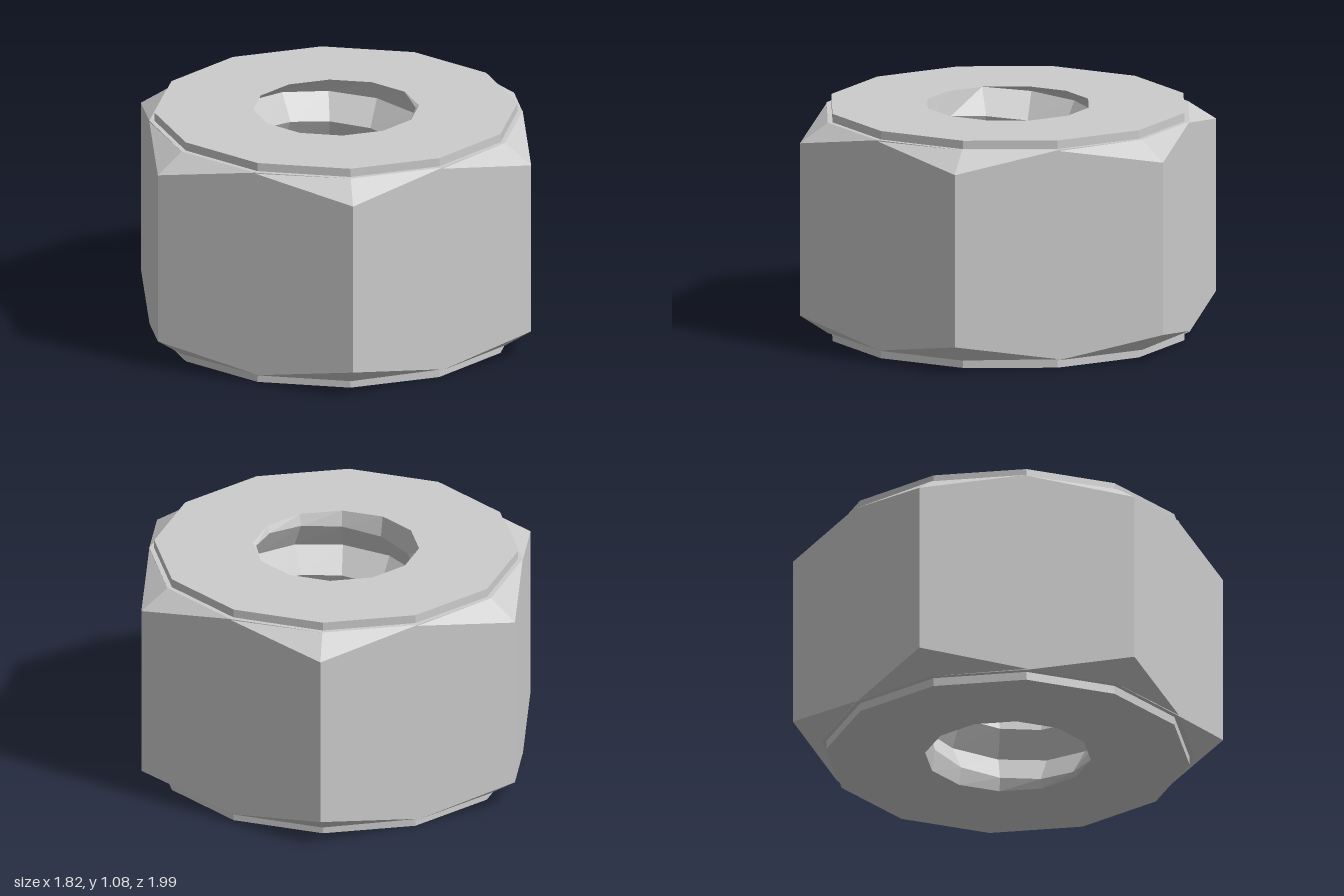
import * as THREE from 'three';

const SIDES = 12;                 // even points are hex corners, odd ones flat centres
const TURN = 5.45 * Math.PI / 180; // twist of the nut about its axis
const HEIGHT = 1.075;
const APOTHEM = 0.866;
const RIM = 0.385;

// Point on the nut from index around the axis, radius and height
function polar(i, r, y) {
  const a = TURN + (i / SIDES) * Math.PI * 2;
  return [r * Math.sin(a), y, r * Math.cos(a)];
}

// Joins loops of SIDES + 1 points into a faceted skin
function loft(name, loops) {
  const pos = [];
  for (let k = 0; k < loops.length - 1; k++) {
    for (let i = 0; i < SIDES; i++) {
      const a = loops[k][i], b = loops[k][i + 1];
      const c = loops[k + 1][i + 1], d = loops[k + 1][i];
      pos.push(...a, ...b, ...c, ...a, ...c, ...d);
    }
  }
  const geo = new THREE.BufferGeometry();
  geo.setAttribute('position', new THREE.Float32BufferAttribute(pos, 3));
  geo.computeVertexNormals();
  const mat = new THREE.MeshStandardMaterial({ color: 0xcccccc, flatShading: true, side: THREE.DoubleSide });
  const mesh = new THREE.Mesh(geo, mat);
  mesh.name = name;
  return mesh;
}

// Loop whose radius and height may depend on the index
function loop(fn) {
  return Array.from({ length: SIDES + 1 }, (_, i) => polar(i, ...fn(i)));
}

export function createModel() {
  const group = new THREE.Group();
  group.name = 'hexNut';

  // Hexagonal body with chamfered corners, scalloped along each flat
  const hexEdge = (i) => (i % 2 === 0 ? [1, 0.13] : [APOTHEM, 0.045]);
  const flip = ([r, y]) => [r, HEIGHT - y];
  const lower = [
    () => [RIM, 0],         // hole rim
    () => [0.843, 0],       // bearing face
    () => [0.843, 0.04],    // small step
    () => [APOTHEM, 0.04],  // start of chamfer
    hexEdge,
  ];
  const upper = lower.slice().reverse().map((f) => (i) => flip(f(i)));
  group.add(loft('hexBody', [...lower, ...upper].map(loop)));

  // Helical thread: alternating crest and root rows, cut off at both faces
  const pitch = 0.25, crest = 0.37, root = 0.44;
  const rows = [];
  const count = Math.ceil((HEIGHT / pitch) * 2) + 1;
  for (let k = count; k >= -3; k--) {
    rows.push(loop((i) => {
      const y = (k / 2 + i / SIDES) * pitch;
      if (y <= 0) return [RIM, 0];
      if (y >= HEIGHT) return [RIM, HEIGHT];
      return [k % 2 === 0 ? crest : root, y];
    }));
  }
  group.add(loft('innerThread', rows));

  return group;
}
